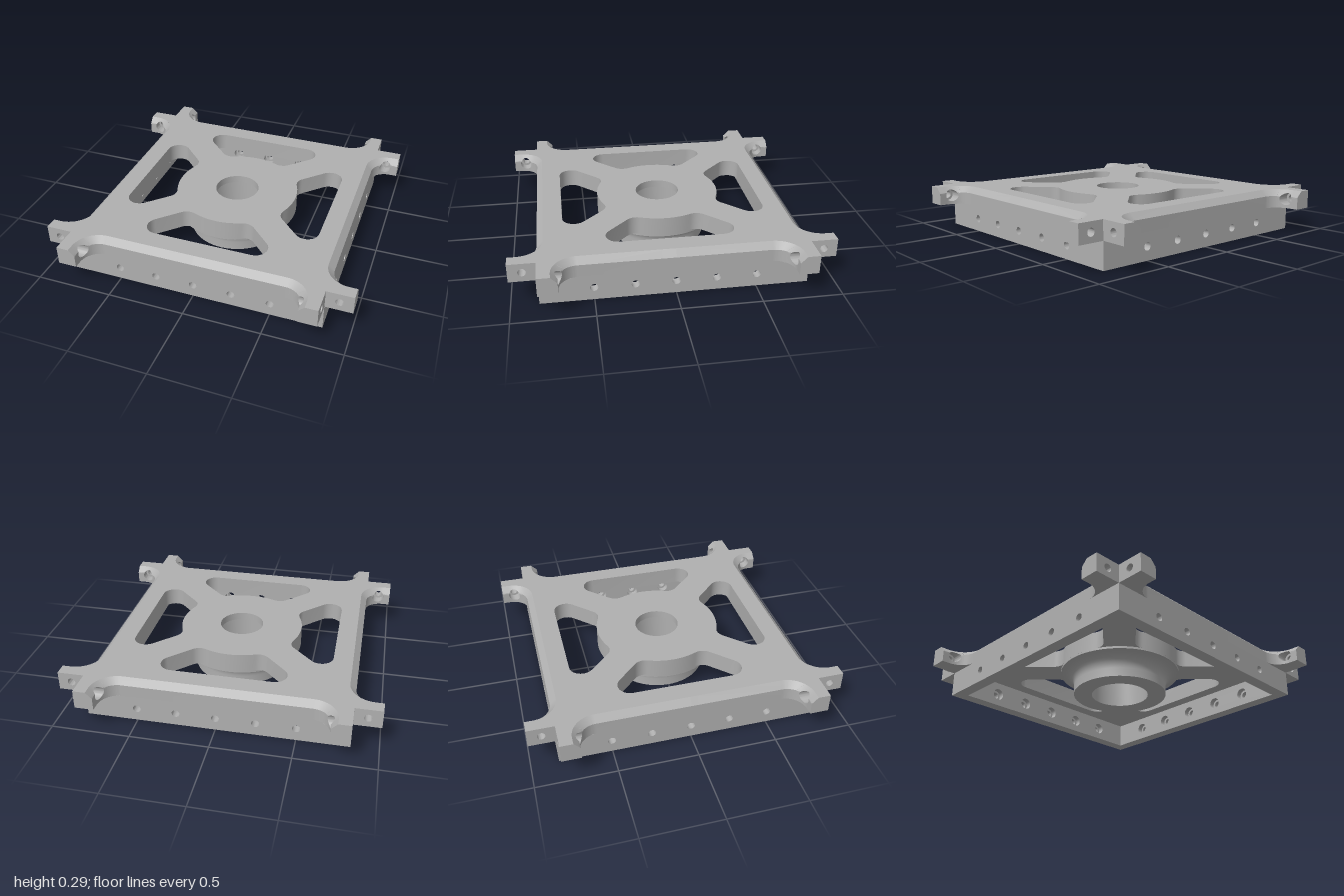
import * as THREE from 'three';
import { toCreasedNormals } from 'three/addons/utils/BufferGeometryUtils.js';

const PLATE_BOTTOM = 0.17, CHAMFER_Y = 0.25, TOP = 0.29;
const HALF = 0.83, INNER = 0.75, HOLE_R = 0.025, BORE_R = 0.04;
const FX = 0.59, FZ = 0.95, FR = 0.12; // centre and radius of the fillet between edge and arm

// Surface from rows of points, all rows the same length
function skin(rows, crease = 0.5) {
  const n = rows[0].length, index = [];
  for (let i = 0; i < rows.length - 1; i++) {
    for (let j = 0; j < n - 1; j++) {
      const a = i * n + j, b = a + n;
      index.push(a, b, a + 1, b, b + 1, a + 1);
    }
  }
  const g = new THREE.BufferGeometry();
  g.setAttribute('position', new THREE.Float32BufferAttribute(rows.flat(2), 3));
  g.setIndex(index);
  return toCreasedNormals(g, crease);
}

function arc(cx, cy, r, a0, a1, n) {
  return Array.from({ length: n + 1 }, (_, i) => {
    const a = THREE.MathUtils.degToRad(a0 + (a1 - a0) * i / n);
    return new THREE.Vector2(cx + r * Math.cos(a), cy + r * Math.sin(a));
  });
}

const turn = (pts, k) => pts.map(p => p.clone().rotateAround(new THREE.Vector2(), k * Math.PI / 2));

// Plate outline with two arms at each corner; r is the fillet radius
function outline(r) {
  const right = [...arc(FX, FZ, r, -90, 0, 14), new THREE.Vector2(FX + r, 1),
    new THREE.Vector2(HALF, 1), new THREE.Vector2(HALF, HALF)];
  const left = right.slice(0, -1).reverse().map(p => new THREE.Vector2(-p.x, p.y));
  const pts = [];
  for (let k = 0; k < 4; k++) pts.push(...turn([...left, ...right], -k));
  return pts;
}

// Rounded window between two spokes
function windowPoints() {
  const toHub = THREE.MathUtils.radToDeg(Math.atan2(0.455, 0.195));
  return [
    ...arc(0.325, 0.585, 0.08, 90, -45, 14),
    ...arc(0.195, 0.455, 0.08, -45, toHub - 180, 8).slice(0, -1),
    ...arc(0, 0, 0.415, toHub, 180 - toHub, 14),
    ...arc(-0.195, 0.455, 0.08, -toHub, -135, 8).slice(1),
    ...arc(-0.325, 0.585, 0.08, 225, 90, 14),
  ];
}

// Flat face of the plate
function cap(r, y, holeR, up) {
  const s = new THREE.Shape(outline(r));
  for (let k = 0; k < 4; k++) s.holes.push(new THREE.Path(turn(windowPoints(), k)));
  s.holes.push(new THREE.Path(arc(0, 0, holeR, 0, 360, 64).slice(0, -1)));
  return new THREE.ShapeGeometry(s).rotateX(up ? -Math.PI / 2 : Math.PI / 2).translate(0, y, 0);
}

// Half of one chamfered edge, running into the arm fillet up to z = 0.86
function edgeGeometry() {
  const levels = [[PLATE_BOTTOM, FR], [CHAMFER_Y, FR], [TOP, FR + 0.04]];
  const rows = [levels.map(([y, r]) => [0, y, FZ - r])];
  for (let i = 0; i <= 12; i++) {
    rows.push(levels.map(([y, r]) => {
      const end = Math.asin(-0.09 / r);
      const a = -Math.PI / 2 + (end + Math.PI / 2) * i / 12;
      return [FX + r * Math.cos(a), y, FZ + r * Math.sin(a)];
    }));
  }
  return skin(rows);
}

// Arm skin: inner face, counterbore, through hole and outer face in one sweep
function armGeometry() {
  const cz = 0.915, cy = 0.23, z0 = 0.86, n = 12, rim = [];
  const corners = [[z0, PLATE_BOTTOM], [z0, TOP], [1, TOP], [1, PLATE_BOTTOM], [z0, PLATE_BOTTOM]];
  for (let c = 0; c < 4; c++) {
    for (let i = 0; i < n; i++) {
      rim.push([0, 1].map(m => corners[c][m] + (corners[c + 1][m] - corners[c][m]) * i / n));
    }
  }
  rim.push(corners[0]);
  const innerX = (z, y) => {
    const r = FR + Math.max(0, y - CHAMFER_Y), dz = Math.min(0, z - FZ);
    return FX + Math.sqrt(r * r - dz * dz);
  };
  const ring = r => rim.map(([z, y]) => {
    const l = Math.hypot(z - cz, y - cy);
    return [cz + (z - cz) / l * r, cy + (y - cy) / l * r];
  });
  const bore = ring(BORE_R), hole = ring(HOLE_R);
  const at = (pts, x) => pts.map(([z, y]) => [x, y, z]);
  const rows = [];
  for (let k = 0; k <= 6; k++) {
    rows.push(rim.map(([z, y], i) => {
      const pz = z + (bore[i][0] - z) * k / 6, py = y + (bore[i][1] - y) * k / 6;
      return [innerX(pz, py), py, pz];
    }));
  }
  rows.push(at(bore, 0.77), at(hole, 0.77), at(hole, HALF));
  rows.push(rim.map(([z, y]) => [HALF, y, z === z0 ? HALF : z]));
  return skin(rows);
}

function armTipGeometry() {
  const pts = [[0.71, PLATE_BOTTOM], [HALF, PLATE_BOTTOM], [HALF, TOP], [INNER, TOP], [0.71, CHAMFER_Y]];
  return new THREE.ShapeGeometry(new THREE.Shape(pts.map(p => new THREE.Vector2(...p)))).translate(0, 0, 1);
}

// One layer of a side wall with its row of five holes
function wallGeometry(r, z) {
  const s = new THREE.Shape([[-HALF, 0], [INNER, 0], [INNER, PLATE_BOTTOM], [-HALF, PLATE_BOTTOM]]
    .map(p => new THREE.Vector2(...p)));
  for (let i = -2; i <= 2; i++) {
    s.holes.push(new THREE.Path(arc(i * 0.25, 0.085, r, 0, 360, 24).slice(0, -1)));
  }
  const g = new THREE.ExtrudeGeometry(s, { depth: 0.04, bevelEnabled: false });
  return toCreasedNormals(g.translate(0, 0, z), 0.5);
}

export function createModel() {
  const model = new THREE.Group();
  const metal = new THREE.MeshStandardMaterial({ color: 0xb0b0b0, side: THREE.DoubleSide });
  metal.name = 'grey metal';
  const add = (parent, name, geometry) => {
    const m = new THREE.Mesh(geometry, metal);
    m.name = name;
    parent.add(m);
  };

  // Plate faces
  add(model, 'plateTop', cap(FR + 0.04, TOP, 0.147, true));
  add(model, 'plateUnderside', cap(FR, PLATE_BOTTOM, 0.195, false));

  // Hub with stepped bore and a fillet flaring out to the spokes
  const flare = arc(0.415, 0.06, 0.095, 180, 90, 10);
  const profile = [[0.147, TOP], [0.147, 0.24], [0.195, 0.24], [0.195, 0], [0.32, 0]]
    .map(p => new THREE.Vector2(...p)).concat(flare, new THREE.Vector2(0.415, PLATE_BOTTOM));
  add(model, 'hub', toCreasedNormals(new THREE.LatheGeometry(profile, 64), 0.5));

  // Four identical sides
  const win = windowPoints();
  win.push(win[0]);
  const windowWall = skin([PLATE_BOTTOM, TOP].map(y => win.map(p => [p.x, y, p.y])));
  const outerWall = wallGeometry(HOLE_R, 0.79), innerWall = wallGeometry(BORE_R, INNER);
  const edge = edgeGeometry(), arm = armGeometry(), tip = armTipGeometry();
  for (let k = 0; k < 4; k++) {
    const side = new THREE.Group();
    side.name = 'side' + (k + 1);
    side.rotation.y = k * Math.PI / 2;
    add(side, 'windowWall', windowWall);
    add(side, 'outerWall', outerWall);
    add(side, 'innerWall', innerWall);
    for (const sx of [1, -1]) {
      const half = new THREE.Group();
      half.name = sx > 0 ? 'leftHalf' : 'rightHalf';
      half.scale.x = sx;
      add(half, 'chamferedEdge', edge);
      add(half, 'arm', arm);
      add(half, 'armTip', tip);
      side.add(half);
    }
    model.add(side);
  }
  return model;
}
